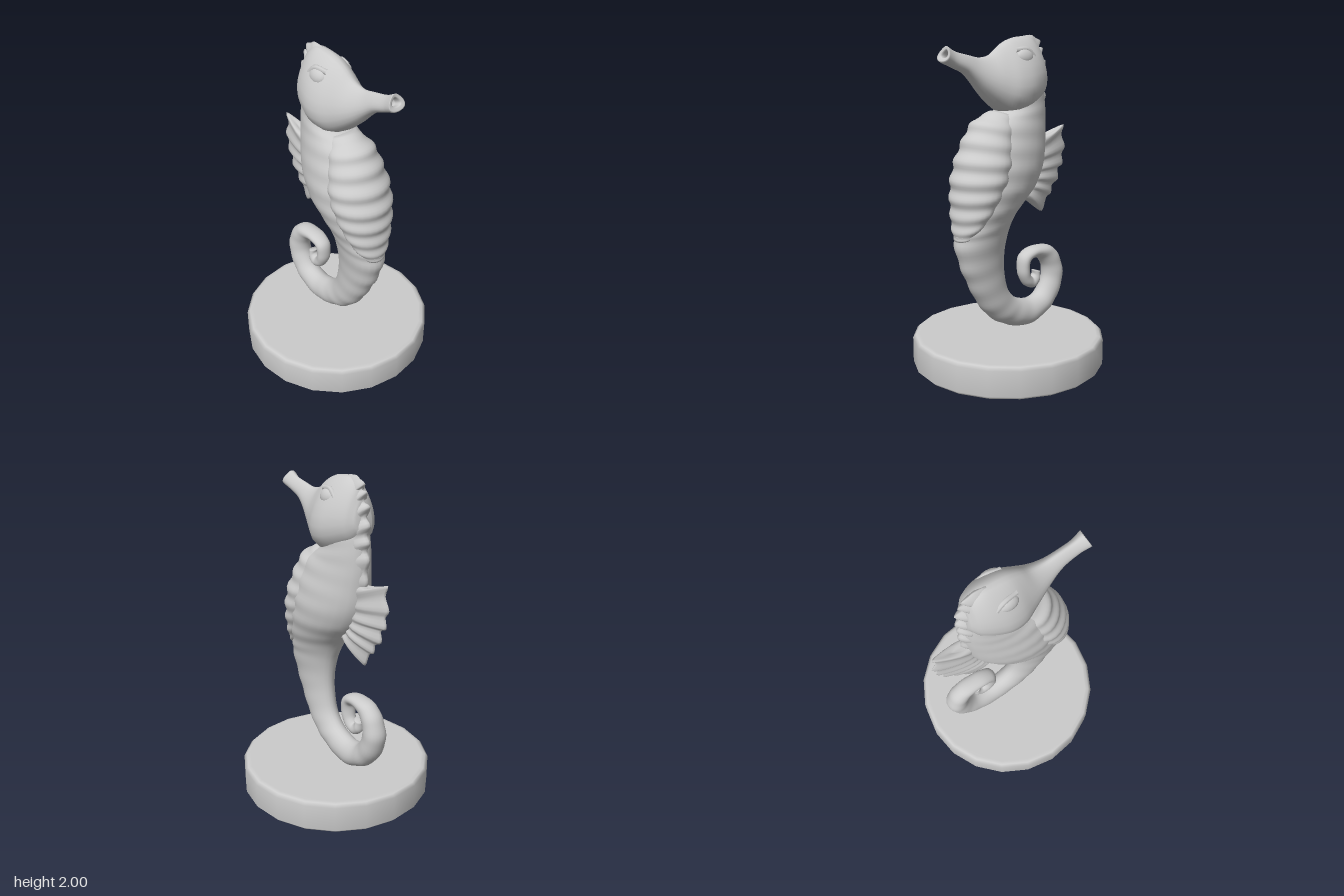
import * as THREE from 'three';

const material = new THREE.MeshStandardMaterial({ color: 0xcccccc });

// Closed tube through cross-sections. Each station is [ax, ay, bx, by, halfDepth]:
// the section spans a to b in the xy plane and halfDepth in z.
// skew moves the widest point towards b; ripple adds rings that grow towards b.
function loft(name, stations, { sub = 4, seg = 20, skew = 0, rings = 0, ripple = 0 } = {}) {
  const mids = new THREE.CatmullRomCurve3(
    stations.map(([ax, ay, bx, by]) => new THREE.Vector3((ax + bx) / 2, (ay + by) / 2, 0)), false, 'centripetal');
  const halves = new THREE.CatmullRomCurve3(
    stations.map(([ax, ay, bx, by, w]) => new THREE.Vector3((bx - ax) / 2, (by - ay) / 2, w)), false, 'catmullrom', 0.5);
  const rows = (stations.length - 1) * sub;
  const pos = [], index = [];
  for (let i = 0; i <= rows; i++) {
    const u = i / rows, m = mids.getPoint(u), h = halves.getPoint(u);
    const wave = ripple * Math.sin(u * rings * Math.PI * 2);
    for (let j = 0; j < seg; j++) {
      const a = (j / seg) * Math.PI * 2, t = Math.cos(a);
      const k = 1 + wave * (0.5 + 0.5 * t);
      pos.push(m.x + h.x * t * k, m.y + h.y * t * k, h.z * k * Math.sin(a) * (1 + skew * t));
      if (i < rows) {
        const p = i * seg + j, q = i * seg + (j + 1) % seg;
        index.push(p, q, p + seg, q, q + seg, p + seg);
      }
    }
  }
  // end caps
  const first = pos.length / 3, m0 = mids.getPoint(0), m1 = mids.getPoint(1);
  pos.push(m0.x, m0.y, 0, m1.x, m1.y, 0);
  for (let j = 0; j < seg; j++) {
    const n = (j + 1) % seg, r = rows * seg;
    index.push(first, n, j, first + 1, r + j, r + n);
  }
  // turn faces outwards if the enclosed volume comes out negative
  let volume = 0;
  const A = new THREE.Vector3(), B = new THREE.Vector3(), C = new THREE.Vector3();
  for (let i = 0; i < index.length; i += 3) {
    A.fromArray(pos, index[i] * 3); B.fromArray(pos, index[i + 1] * 3); C.fromArray(pos, index[i + 2] * 3);
    volume += A.dot(B.cross(C));
  }
  if (volume < 0) index.reverse();
  const g = new THREE.BufferGeometry();
  g.setAttribute('position', new THREE.Float32BufferAttribute(pos, 3));
  g.setIndex(index);
  g.computeVertexNormals();
  return named(name, g);
}

function named(name, geometry) {
  const mesh = new THREE.Mesh(geometry, material);
  mesh.name = name;
  return mesh;
}

export function createModel() {
  const model = new THREE.Group();
  model.name = 'seahorseStatue';

  // Round plinth with softly rounded rims
  const profile = [[0, 0], [0.55, 0], [0.572, 0.004], [0.59, 0.022], [0.59, 0.175], [0.572, 0.193], [0.55, 0.197], [0, 0.197]]
    .map(([x, y]) => new THREE.Vector2(x, y));
  model.add(named('base', new THREE.LatheGeometry(profile, 20)));

  // Neck and torso, from the back edge to the belly edge
  const torso = [
    [-0.24, 1.84, 0, 1.78, 0.07], [-0.26, 1.7, 0.04, 1.66, 0.11], [-0.275, 1.6, 0.08, 1.56, 0.125],
    [-0.28, 1.48, 0.19, 1.5, 0.147], [-0.27, 1.36, 0.26, 1.4, 0.172], [-0.25, 1.24, 0.31, 1.28, 0.192],
    [-0.19, 1.12, 0.34, 1.15, 0.192], [-0.1, 1.03, 0.37, 1.01, 0.167], [-0.03, 0.95, 0.39, 0.89, 0.135],
    [0.02, 0.85, 0.4, 0.81, 0.115],
  ];
  // Tail curling into a spiral, from the inner edge to the outer edge
  const tail = [
    [0.05, 0.72, 0.365, 0.67, 0.095], [0.05, 0.6, 0.305, 0.54, 0.085], [0.02, 0.48, 0.23, 0.41, 0.08],
    [-0.04, 0.41, 0.14, 0.31, 0.077], [-0.11, 0.38, 0.02, 0.24, 0.075], [-0.18, 0.37, -0.14, 0.2, 0.075],
    [-0.25, 0.39, -0.3, 0.25, 0.075], [-0.29, 0.44, -0.4, 0.34, 0.073], [-0.31, 0.5, -0.455, 0.48, 0.07],
    [-0.3, 0.56, -0.43, 0.6, 0.065], [-0.26, 0.61, -0.36, 0.68, 0.06], [-0.2, 0.625, -0.22, 0.7, 0.055],
    [-0.17, 0.605, -0.115, 0.66, 0.05], [-0.17, 0.56, -0.095, 0.56, 0.046], [-0.18, 0.525, -0.13, 0.47, 0.042],
    [-0.2, 0.505, -0.2, 0.43, 0.038], [-0.215, 0.52, -0.255, 0.46, 0.034], [-0.21, 0.545, -0.265, 0.53, 0.028],
  ];
  model.add(loft('bodyAndTail', [...torso, ...tail], { sub: 6, seg: 24, skew: 0.1, rings: 27, ripple: 0.025 }));

  // Raised belly plate with a scalloped front edge
  model.add(loft('bellyPlate', [
    [0, 1.52, 0.12, 1.57, 0.08], [0.02, 1.45, 0.24, 1.51, 0.135], [0.04, 1.35, 0.31, 1.4, 0.168],
    [0.06, 1.25, 0.365, 1.27, 0.191], [0.1, 1.15, 0.395, 1.14, 0.188], [0.16, 1.05, 0.4, 1.02, 0.165],
    [0.23, 0.96, 0.4, 0.91, 0.13], [0.31, 0.87, 0.4, 0.83, 0.075],
  ], { sub: 9, seg: 28, skew: -0.12, rings: 8, ripple: 0.06 }));

  // Head tapering into the snout, from the top edge to the bottom edge, with an open mouth
  model.add(loft('headAndSnout', [
    [-0.25, 1.87, -0.27, 1.7, 0.05], [-0.22, 1.95, -0.22, 1.63, 0.1], [-0.16, 1.99, -0.14, 1.58, 0.135],
    [-0.08, 1.99, -0.05, 1.55, 0.156], [0, 1.975, 0.04, 1.55, 0.148], [0.07, 1.94, 0.12, 1.59, 0.115],
    [0.14, 1.89, 0.21, 1.665, 0.08], [0.22, 1.872, 0.28, 1.735, 0.055], [0.3, 1.885, 0.34, 1.785, 0.043],
    [0.4, 1.907, 0.43, 1.822, 0.04], [0.455, 1.935, 0.49, 1.85, 0.05],
    [0.457, 1.915, 0.477, 1.87, 0.028], [0.42, 1.895, 0.435, 1.855, 0.022],
  ], { sub: 4, seg: 24, skew: 0.38 }));

  // Soft eye bulges under a faint brow on both sides
  for (const side of [-1, 1]) {
    const eye = named(side > 0 ? 'frontEye' : 'backEye', new THREE.SphereGeometry(0.055, 16, 12));
    eye.position.set(-0.05, 1.875, side * 0.088);
    eye.rotation.x = -side * 0.35;
    eye.scale.set(1.15, 0.85, 0.6);
    const brow = named(side > 0 ? 'frontBrow' : 'backBrow', new THREE.TubeGeometry(
      new THREE.CatmullRomCurve3([[-0.12, 1.875, 0.092], [-0.07, 1.915, 0.086], [0.01, 1.91, 0.072]]
        .map(([x, y, z]) => new THREE.Vector3(x, y, z * side))), 8, 0.016, 8));
    model.add(eye, brow);
  }

  // Spiny crest down the back of the head and neck: valleys and tips alternate
  model.add(loft('crest', [
    [-0.1, 1.94, -0.12, 1.995, 0.02], [-0.13, 1.92, -0.19, 2, 0.03], [-0.14, 1.9, -0.22, 1.985, 0.035],
    [-0.15, 1.88, -0.265, 1.965, 0.035], [-0.16, 1.86, -0.235, 1.93, 0.04], [-0.17, 1.83, -0.285, 1.925, 0.04],
    [-0.18, 1.8, -0.25, 1.87, 0.045], [-0.19, 1.78, -0.31, 1.85, 0.045], [-0.2, 1.74, -0.27, 1.79, 0.05],
    [-0.2, 1.7, -0.315, 1.745, 0.05], [-0.2, 1.66, -0.28, 1.69, 0.055], [-0.2, 1.62, -0.31, 1.645, 0.055],
    [-0.2, 1.58, -0.28, 1.6, 0.055], [-0.2, 1.54, -0.31, 1.55, 0.055], [-0.2, 1.48, -0.285, 1.48, 0.055],
    [-0.2, 1.42, -0.3, 1.42, 0.05], [-0.2, 1.36, -0.27, 1.36, 0.04],
  ], { sub: 3, seg: 12, skew: -0.6 }));

  // Fan-shaped fin on the back, each section a ray from root to ragged edge
  model.add(loft('dorsalFin', [
    [-0.2, 1.39, -0.35, 1.4, 0.025], [-0.2, 1.365, -0.41, 1.425, 0.04], [-0.19, 1.33, -0.48, 1.45, 0.045],
    [-0.19, 1.29, -0.46, 1.385, 0.036], [-0.18, 1.26, -0.495, 1.31, 0.046], [-0.18, 1.23, -0.465, 1.265, 0.036],
    [-0.17, 1.2, -0.475, 1.2, 0.048], [-0.16, 1.17, -0.43, 1.175, 0.038], [-0.15, 1.15, -0.435, 1.105, 0.05],
    [-0.14, 1.13, -0.38, 1.075, 0.038], [-0.13, 1.11, -0.37, 1.02, 0.05], [-0.12, 1.09, -0.33, 1, 0.038],
    [-0.1, 1.08, -0.29, 0.915, 0.046], [-0.08, 1.07, -0.22, 0.96, 0.036], [-0.06, 1.06, -0.14, 1.01, 0.03],
  ], { sub: 3, seg: 16, skew: -0.5 }));

  return model;
}
